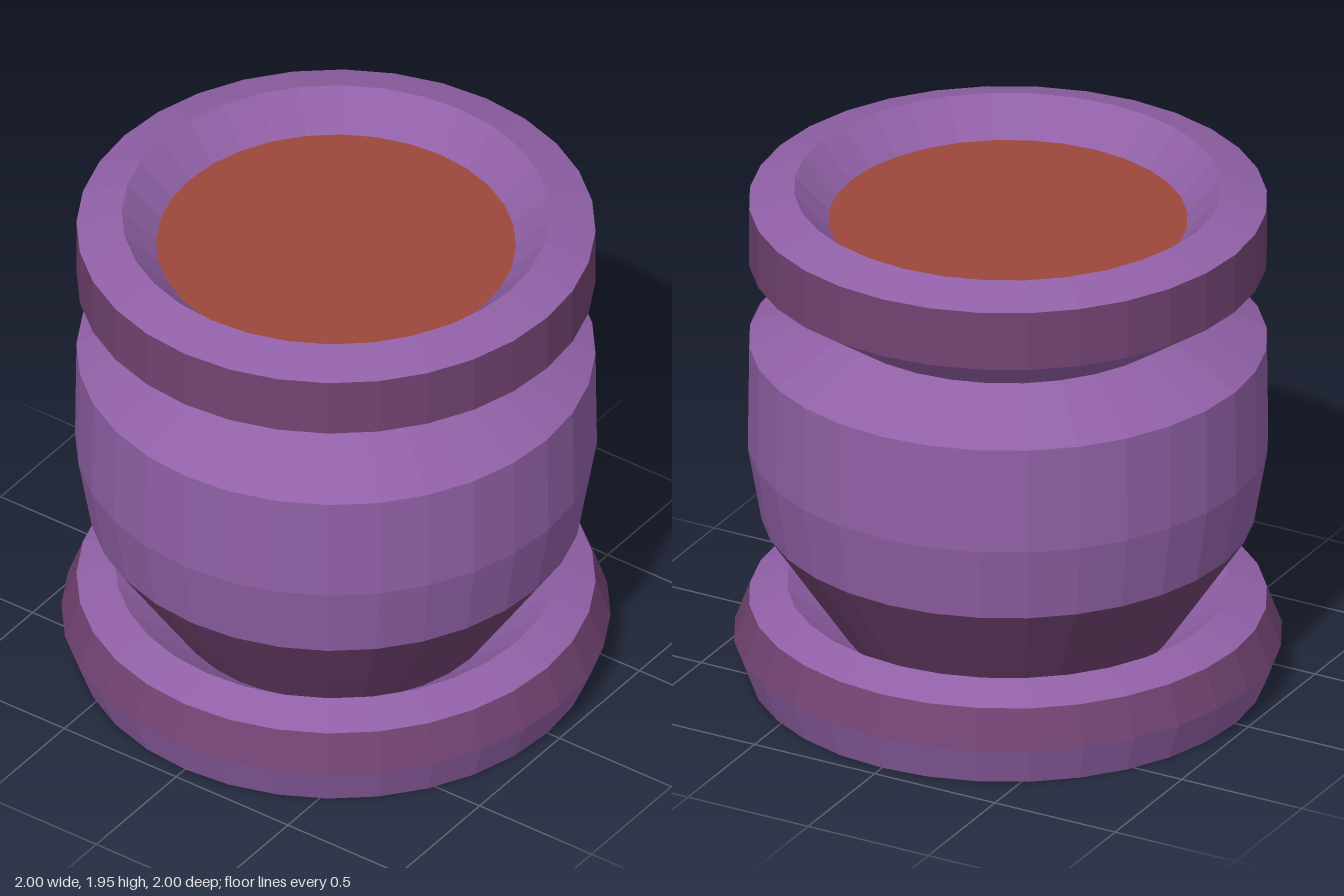
import * as THREE from 'three';

const SIDES = 32;

export function createModel() {
  const group = new THREE.Group();
  group.name = 'flowerPot';

  const material = (name, color) => {
    const m = new THREE.MeshStandardMaterial({ color, flatShading: true });
    m.name = name;
    return m;
  };
  const purple = material('purple glaze', 0x9060a6);
  const mauve = material('dark mauve glaze', 0x724372);
  const earth = material('red brown soil', 0x9c463a);

  // Revolves a [radius, height] profile, listed from the bottom outwards and up
  const turned = (name, glaze, profile) => {
    const points = profile.map(([r, y]) => new THREE.Vector2(r, y));
    const mesh = new THREE.Mesh(new THREE.LatheGeometry(points, SIDES), glaze);
    mesh.name = name;
    group.add(mesh);
  };

  // Saucer: flared base, darker upper band, lip sloping in to the foot of the pot
  turned('saucerBase', purple, [[0, 0], [0.945, 0], [1, 0.15]]);
  turned('saucerBand', mauve, [[1, 0.15], [0.945, 0.297]]);
  turned('saucerLip', purple, [[0.945, 0.297], [0.805, 0.352], [0.6, 0.187]]);

  // Belly: darker tapered foot below the rounded body
  turned('foot', mauve, [[0.6, 0.187], [0.712, 0.355], [0.9, 0.64]]);
  turned('body', purple, [[0.9, 0.64], [0.95, 0.93], [0.945, 1.34], [0.685, 1.487]]);

  // Collar: flared underside, darker band, lip with a funnel-shaped inside
  turned('collar', purple, [[0.685, 1.487], [0.945, 1.667]]);
  turned('rimBand', mauve, [[0.945, 1.667], [0.945, 1.897]]);
  turned('rimLip', purple, [[0.945, 1.897], [0.78, 1.95], [0.655, 1.82]]);

  // Flat soil surface inside the rim
  const soil = new THREE.Mesh(new THREE.CircleGeometry(0.655, SIDES), earth);
  soil.name = 'soil';
  soil.rotation.x = -Math.PI / 2;
  soil.position.y = 1.82;
  group.add(soil);

  return group;
}
